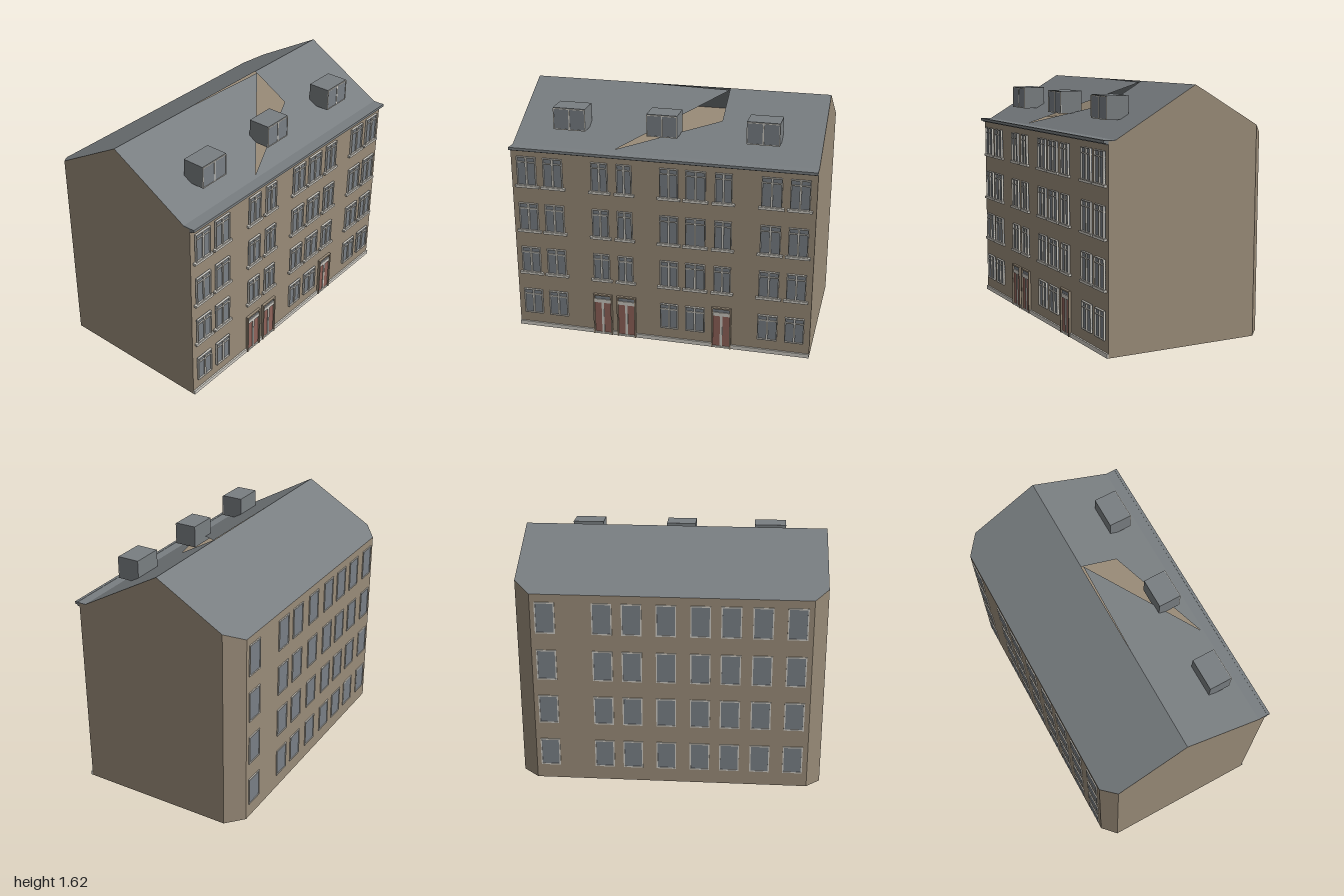
import * as THREE from 'three';

const material = (name, color) => {
  const m = new THREE.MeshStandardMaterial({ color });
  m.name = name;
  return m;
};

export function createModel() {
  const wall = material('brown render', 0x998b78);
  const slate = material('slate grey', 0x797e81);
  const glass = material('window glass', 0x797f85);
  const trim = material('pale trim', 0xcdcac2);
  const red = material('door red', 0x8f6259);
  wall.side = slate.side = THREE.DoubleSide;

  const model = new THREE.Group();
  model.name = 'townhouse';

  // Box given by its limits on each axis
  const box = (parent, name, mat, x0, x1, y0, y1, z0, z1) => {
    const mesh = new THREE.Mesh(new THREE.BoxGeometry(x1 - x0, y1 - y0, z1 - z0), mat);
    mesh.position.set((x0 + x1) / 2, (y0 + y1) / 2, (z0 + z1) / 2);
    mesh.name = name;
    parent.add(mesh);
  };

  // Flat convex polygons, each a loop of [x, y, z] corners
  const panels = (name, mat, polygons) => {
    const pos = [];
    for (const p of polygons)
      for (let i = 1; i < p.length - 1; i++) pos.push(...p[0], ...p[i], ...p[i + 1]);
    const g = new THREE.BufferGeometry();
    g.setAttribute('position', new THREE.Float32BufferAttribute(pos, 3));
    g.computeVertexNormals();
    const mesh = new THREE.Mesh(g, mat);
    mesh.name = name;
    model.add(mesh);
  };

  const EAVE = 1.3, FRONT = 0.555, BACK = -0.585, RIDGE_Y = 1.615, RIDGE_Z = -0.035, FOOT_Z = 0.515;
  const frontY = z => RIDGE_Y - (RIDGE_Y - EAVE) * (z - RIDGE_Z) / (FOOT_Z - RIDGE_Z);
  const backY = z => RIDGE_Y - (RIDGE_Y - EAVE) * (RIDGE_Z - z) / (RIDGE_Z - BACK);
  const onFront = (x, z) => [x, frontY(z), z];
  const onBack = (x, z) => [x, backY(z), z];

  // Walls: footprint with cut back corners, closed at eave height
  const plan = new THREE.Shape([
    [-1, -FRONT], [1, -FRONT], [1, 0.485], [0.89, -BACK], [-0.91, -BACK], [-1, 0.5],
  ].map(([x, y]) => new THREE.Vector2(x, y)));
  const body = new THREE.Mesh(
    new THREE.ExtrudeGeometry(plan, { depth: EAVE, bevelEnabled: false }).rotateX(-Math.PI / 2), wall);
  body.name = 'walls';
  model.add(body);

  // Gables and the small triangles above the cut corners
  panels('rightGable', wall, [
    [[-1, EAVE, FOOT_Z], onFront(-1, RIDGE_Z), onBack(-1, -0.5), [-1, EAVE, -0.5]],
    [[-1, EAVE, -0.5], onBack(-1, -0.5), [-0.91, EAVE, BACK]],
  ]);
  panels('leftGable', wall, [
    [[1, EAVE, FOOT_Z], [1, EAVE, -0.485], onBack(1, -0.485), onFront(1, RIDGE_Z)],
    [[1, EAVE, -0.485], [0.89, EAVE, BACK], onBack(1, -0.485)],
  ]);

  // Roof slopes; the middle front section has an open triangle
  panels('backRoof', slate, [[
    onBack(1, RIDGE_Z), onBack(1, -0.485), [0.89, EAVE, BACK],
    [-0.91, EAVE, BACK], onBack(-1, -0.5), onBack(-1, RIDGE_Z),
  ]]);
  const L = -0.31, R = 0.335;
  const slope = (x0, x1) =>
    [onFront(x0, FOOT_Z), onFront(x1, FOOT_Z), onFront(x1, RIDGE_Z), onFront(x0, RIDGE_Z)];
  panels('frontRoof', slate, [
    slope(-1, L), slope(R, 1),
    [onFront(L, 0.49), onFront(R, -0.02), onFront(L, RIDGE_Z)],
    [onFront(L, FOOT_Z), onFront(R, FOOT_Z), onFront(R, 0.22), onFront(L, 0.49)],
  ]);

  // Eave shelf and gutter
  box(model, 'eaveShelf', slate, -1, 1, 1.298, 1.304, 0.505, 0.575);
  box(model, 'cornice', slate, -1, 1, 1.28, 1.298, FRONT, 0.57);
  box(model, 'gutter', slate, -1, 1, 1.288, 1.306, 0.57, 0.588);

  // Bars around an opening: two sides, top and bottom
  const frame = (g, mat, x0, x1, y0, y1, z0, z1, t) => {
    box(g, 'frameSide', mat, x0, x0 + t, y0, y1, z0, z1);
    box(g, 'frameSide', mat, x1 - t, x1, y0, y1, z0, z1);
    box(g, 'frameTop', mat, x0 + t, x1 - t, y1 - t, y1, z0, z1);
    box(g, 'frameBottom', mat, x0 + t, x1 - t, y0, y0 + t, z0, z1);
  };
  const group = name => {
    const g = new THREE.Group();
    g.name = name;
    model.add(g);
    return g;
  };

  // Front windows, with doors in three ground floor bays
  const floors = [[0.1, 0.28], [0.41, 0.595], [0.72, 0.915], [1.04, 1.24]];
  const bays = [[-0.96, -0.83], [-0.78, -0.65], [-0.455, -0.345], [-0.285, -0.185], [0, 0.12],
    [0.17, 0.3], [0.36, 0.47], [0.655, 0.785], [0.835, 0.96]];
  const doorBays = [2, 3, 6];

  floors.forEach(([y0, y1], floor) => bays.forEach(([x0, x1], bay) => {
    if (floor === 0 && doorBays.includes(bay)) return;
    const g = group('frontWindow'), c = (x0 + x1) / 2;
    box(g, 'pane', glass, x0, x1, y0, y1, FRONT, 0.56);
    frame(g, trim, x0, x1, y0, y1, FRONT, 0.57, 0.006);
    box(g, 'mullion', trim, c - 0.006, c + 0.006, y0, y1, FRONT, 0.569);
    box(g, 'transom', trim, x0, x1, y1 - 0.04, y1 - 0.033, FRONT, 0.568);
    if (floor > 0) box(g, 'sill', trim, x0 - 0.017, x1 + 0.017, y0 - 0.014, y0 + 0.002, FRONT, 0.574);
  }));

  for (const bay of doorBays) {
    const g = group('door'), c = (bays[bay][0] + bays[bay][1]) / 2;
    const x0 = c - 0.066, x1 = c + 0.066;
    box(g, 'surroundSide', wall, x0, x0 + 0.01, 0, 0.298, FRONT, 0.572);
    box(g, 'surroundSide', wall, x1 - 0.01, x1, 0, 0.298, FRONT, 0.572);
    box(g, 'surroundTop', wall, x0 + 0.01, x1 - 0.01, 0.288, 0.298, FRONT, 0.572);
    box(g, 'leaves', red, x0 + 0.01, x1 - 0.01, 0.012, 0.238, FRONT, 0.561);
    box(g, 'fanlight', glass, x0 + 0.01, x1 - 0.01, 0.262, 0.288, FRONT, 0.561);
    box(g, 'transom', trim, x0 + 0.01, x1 - 0.01, 0.237, 0.263, FRONT, 0.567);
    box(g, 'meetingBar', trim, c - 0.008, c + 0.008, 0.012, 0.24, FRONT, 0.566);
    box(g, 'threshold', trim, x0 + 0.01, x1 - 0.01, 0, 0.012, FRONT, 0.568);
  }

  // Plinth strips between the doors
  for (const [x0, x1] of [[-1, -0.468], [-0.333, -0.302], [-0.168, 0.348], [0.482, 1]])
    box(model, 'plinth', trim, x0, x1, 0, 0.027, FRONT, 0.566);

  // Back windows
  for (const c of [0.795, 0.43, 0.24, 0.02, -0.2, -0.395, -0.595, -0.812])
    for (const [y0, y1] of floors) {
      const g = group('backWindow');
      box(g, 'pane', glass, c - 0.062, c + 0.062, y0, y1 + 0.005, -0.588, BACK);
      frame(g, trim, c - 0.065, c + 0.065, y0 - 0.003, y1 + 0.008, -0.592, BACK, 0.008);
    }

  // Dormers with a two-light window
  for (const [x0, x1] of [[-0.74, -0.525], [-0.115, 0.085], [0.53, 0.74]]) {
    const g = group('dormer'), c = (x0 + x1) / 2;
    box(g, 'dormerBody', slate, x0, x1, 1.4, 1.547, 0.283, 0.43);
    box(g, 'dormerPane', glass, x0 + 0.004, x1 - 0.004, 1.402, 1.541, 0.43, 0.432);
    frame(g, trim, x0, x1, 1.4, 1.543, 0.43, 0.435, 0.005);
    box(g, 'dormerMullion', trim, c - 0.004, c + 0.004, 1.4, 1.54, 0.43, 0.435);
  }

  return model;
}
